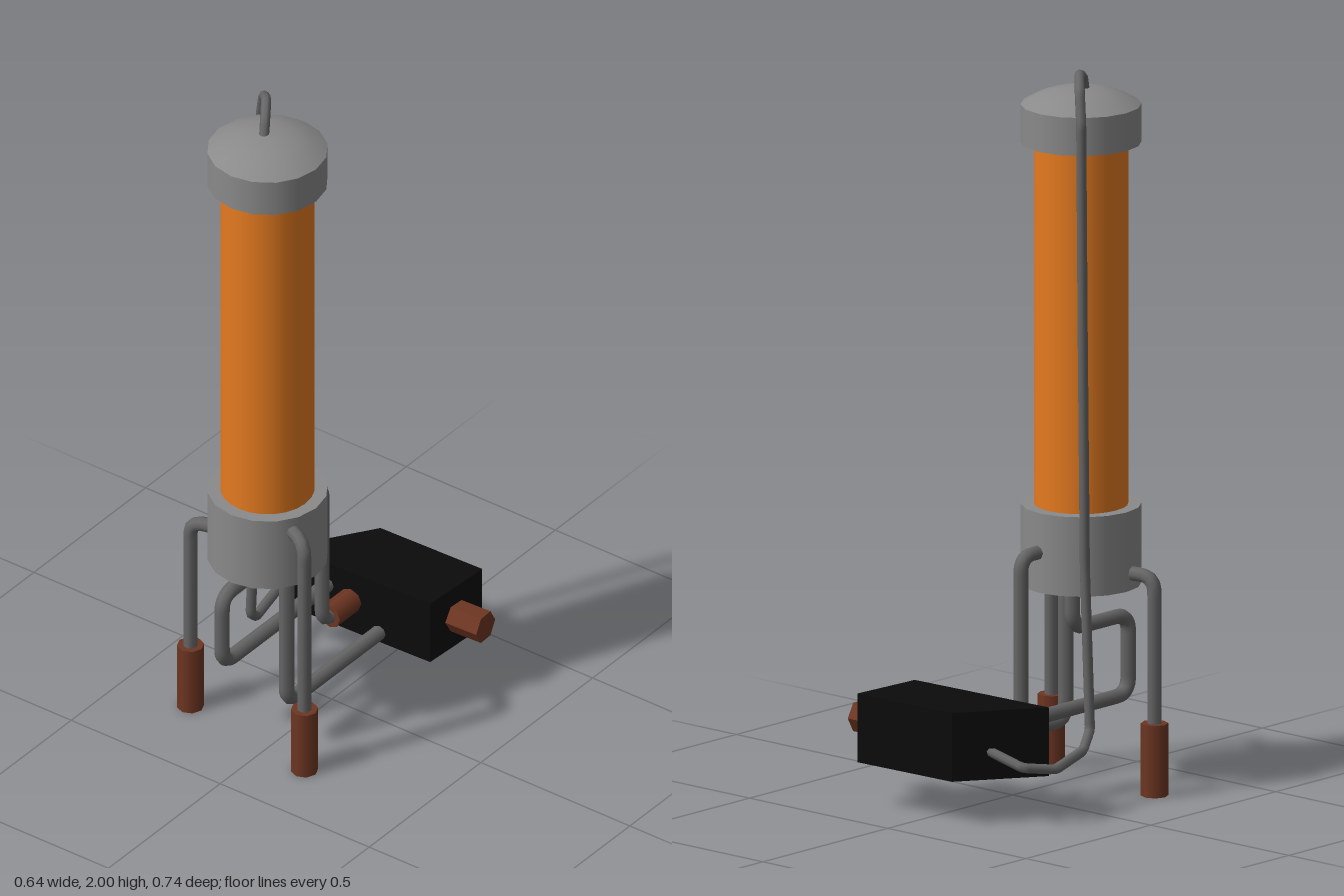
import * as THREE from 'three';

const mat = (color) => new THREE.MeshStandardMaterial({ color });
const steel = mat(0x8a8a8a), pipeGrey = mat(0x666666), amber = mat(0xe47a20);
const brown = mat(0x6e3622), black = mat(0x0b0b0b);
const V = (x, y, z) => new THREE.Vector3(x, y, z);
const CX = -0.06, CZ = 0.208; // column axis

// Straight runs joined by rounded corners
function bentPath(points, bend) {
  const path = new THREE.CurvePath();
  let last = points[0];
  for (let i = 1; i < points.length - 1; i++) {
    const p = points[i];
    const toward = (q) => {
      const d = q.clone().sub(p);
      return p.clone().addScaledVector(d, Math.min(bend / d.length(), 0.45));
    };
    const a = toward(points[i - 1]), b = toward(points[i + 1]);
    path.add(new THREE.LineCurve3(last, a));
    path.add(new THREE.QuadraticBezierCurve3(a, p, b));
    last = b;
  }
  path.add(new THREE.LineCurve3(last, points[points.length - 1]));
  return path;
}

export function createModel() {
  const model = new THREE.Group();
  const add = (name, geometry, material) => {
    const mesh = new THREE.Mesh(geometry, material);
    mesh.name = name;
    model.add(mesh);
    return mesh;
  };
  const cylinder = (name, r, y0, y1, x, z, sides, material) => {
    const mesh = add(name, new THREE.CylinderGeometry(r, r, y1 - y0, sides), material);
    mesh.position.set(x, (y0 + y1) / 2, z);
    return mesh;
  };
  const pipe = (name, points, r, bend, segments) =>
    add(name, new THREE.TubeGeometry(bentPath(points, bend), segments, r, 8), pipeGrey);

  // Column: base collar, amber tube, domed cap
  cylinder('baseCollar', 0.163, 0.56, 0.78, CX, CZ, 16, steel);
  cylinder('amberTube', 0.127, 0.77, 1.79, CX, CZ, 24, amber);
  cylinder('capBand', 0.163, 1.78, 1.885, CX, CZ, 16, steel);
  const domeProfile = [[0.163, 1.885], [0.125, 1.907], [0.085, 1.921], [0.043, 1.93], [0, 1.932]]
    .map(([r, y]) => new THREE.Vector2(r, y));
  const dome = add('capDome', new THREE.LatheGeometry(domeProfile, 16), steel);
  dome.position.set(CX, 0, CZ);

  // Two front legs with brown feet
  for (const [side, x, z, top] of [['right', -0.285, 0.253, 0.605], ['left', 0.142, 0.312, 0.735]]) {
    pipe(side + 'Leg', [V(CX, top, CZ), V(x, top, z), V(x, 0.1, z)], 0.02, 0.045, 40);
    cylinder(side + 'Foot', 0.037, 0, 0.2, x, z, 8, brown);
  }

  // Rear pipe with a brown sleeve into the box
  pipe('rearPipe', [V(-0.048, 0.67, 0.15), V(-0.048, 0.67, -0.02), V(-0.048, 0.222, -0.02),
    V(-0.048, 0.222, -0.1)], 0.02, 0.045, 60);
  const sleeve = cylinder('rearSleeve', 0.035, 0, 0.13, -0.048, 0, 8, brown);
  sleeve.rotation.x = Math.PI / 2;
  sleeve.position.set(-0.048, 0.222, -0.118);

  // Lower pipes from the collar to the box
  pipe('upperFeedPipe', [V(-0.125, 0.6, 0.1), V(-0.125, 0.463, 0.1), V(-0.125, 0.463, 0.325),
    V(-0.125, 0.242, 0.325), V(-0.125, 0.242, -0.18)], 0.021, 0.05, 90);
  pipe('lowerFeedPipe', [V(0.045, 0.62, 0.263), V(0.045, 0.153, 0.263),
    V(0.045, 0.153, -0.18)], 0.021, 0.05, 60);

  // Black slanted control box: plan outline (x, -z) raised along y
  const outline = new THREE.Shape([[-0.26, 0.142], [0.212, 0.157], [0.225, 0.373], [-0.11, 0.364]]
    .map(([x, y]) => new THREE.Vector2(x, y)));
  const box = add('controlBox',
    new THREE.ExtrudeGeometry(outline, { depth: 0.19, bevelEnabled: false }), black);
  box.rotation.x = -Math.PI / 2;
  box.position.y = 0.122;

  // Hexagonal knob on the box end
  const knobGeometry = new THREE.CylinderGeometry(0.045, 0.045, 0.13, 6).toNonIndexed();
  knobGeometry.computeVertexNormals();
  knobGeometry.rotateZ(Math.PI / 2);
  const knob = add('boxKnob', knobGeometry, brown);
  knob.rotation.y = 0.04;
  knob.position.set(0.25, 0.217, -0.266);

  // Cable from the cap, down behind the column and around into the box
  pipe('cable', [V(-0.065, 1.91, 0.218), V(-0.078, 1.965, 0.195), V(-0.115, 1.988, 0.14),
    V(-0.16, 1.955, 0.092), V(-0.187, 1.87, 0.068), V(-0.195, 1.3, 0.065), V(-0.202, 0.65, 0.066),
    V(-0.235, 0.21, 0.05), V(-0.255, 0.165, 0), V(-0.3, 0.15, -0.16), V(-0.265, 0.165, -0.252),
    V(-0.14, 0.205, -0.275)], 0.014, 0.012, 200);

  return model;
}
